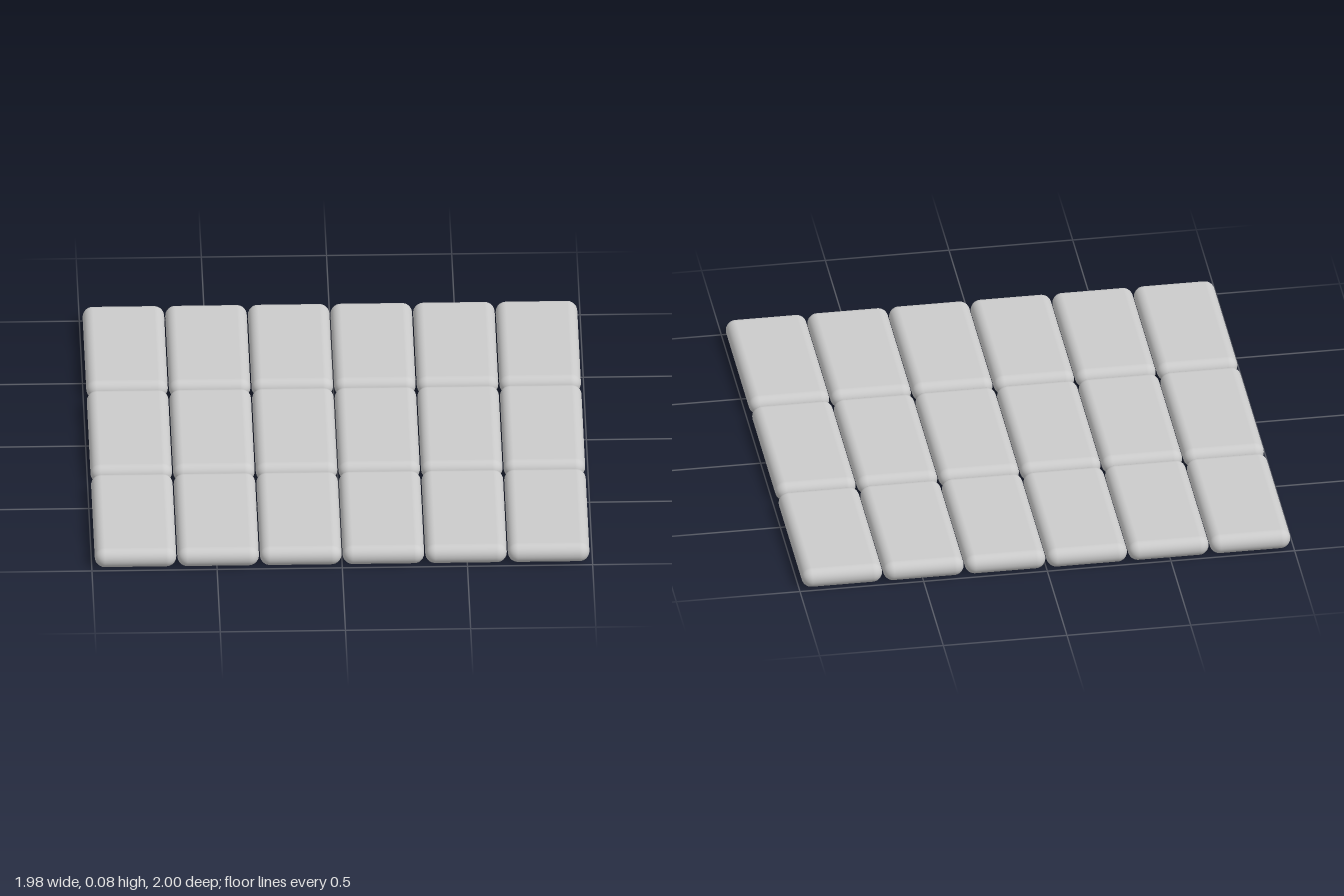
import * as THREE from 'three';
import { RoundedBoxGeometry } from 'three/addons/geometries/RoundedBoxGeometry.js';

const COLUMNS = 6, ROWS = 3;
const WIDTH = 0.326, HEIGHT = 0.082, LENGTH = 0.656;
const PITCH_X = 0.33, PITCH_Z = 0.672;

export function createModel() {
  const group = new THREE.Group();
  group.name = 'tiledSlab';

  // One pillow-edged tile, shared by the whole grid
  const material = new THREE.MeshStandardMaterial({ color: 0xcccccc });
  const geometry = new RoundedBoxGeometry(WIDTH, HEIGHT, LENGTH, 6, 0.0405);

  // Rows run front to back, columns side to side
  for (let row = 0; row < ROWS; row++) {
    for (let col = 0; col < COLUMNS; col++) {
      const tile = new THREE.Mesh(geometry, material);
      tile.name = `tileRow${row + 1}Column${col + 1}`;
      tile.position.set(
        (col - (COLUMNS - 1) / 2) * PITCH_X,
        HEIGHT / 2,
        (row - (ROWS - 1) / 2) * PITCH_Z
      );
      group.add(tile);
    }
  }
  return group;
}
